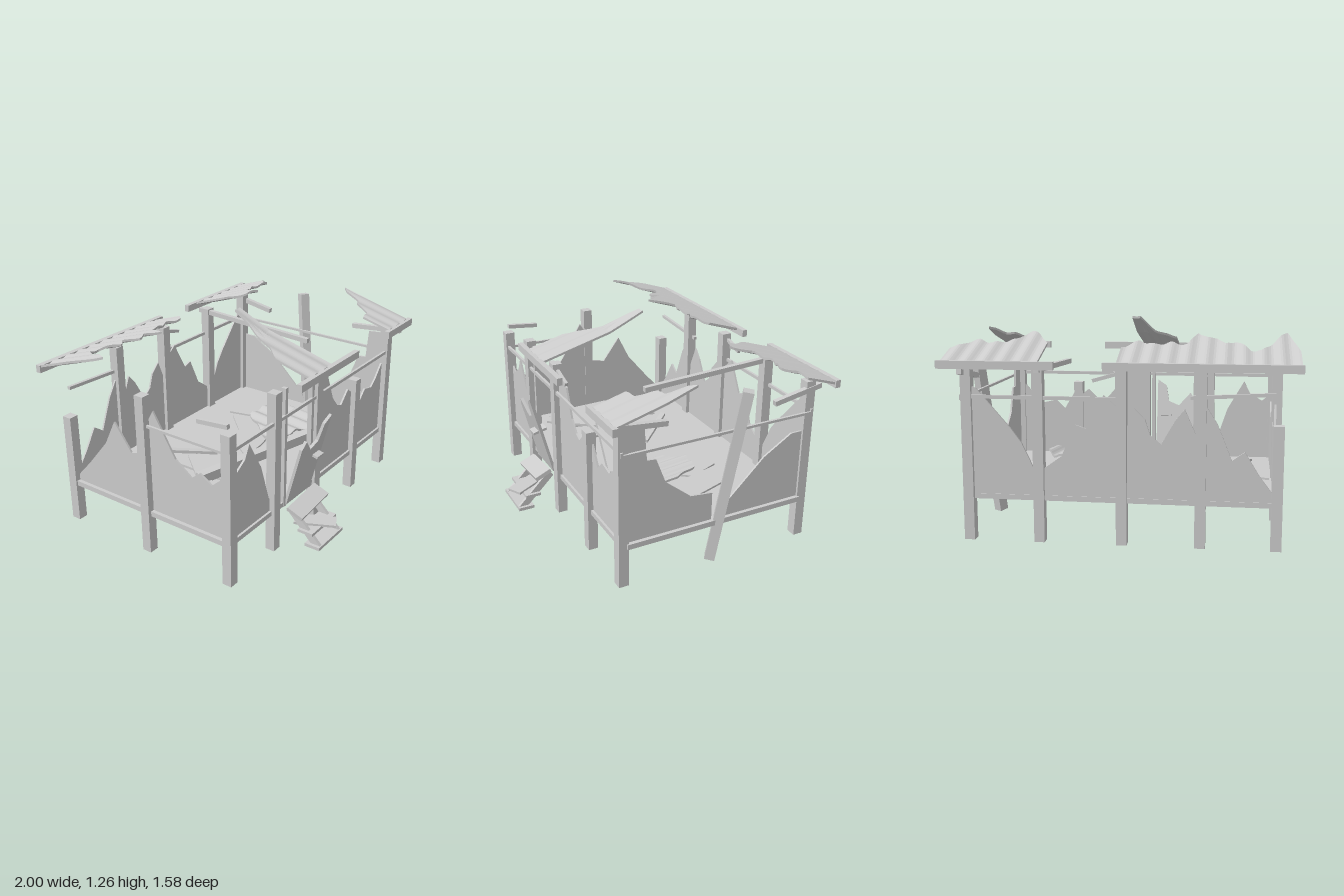
import * as THREE from 'three';

const mat = new THREE.MeshStandardMaterial({ color: 0xcccccc, flatShading: true, side: THREE.DoubleSide });
const V = (a) => new THREE.Vector3(...a);

// piecewise linear value of a [[x, value], ...] profile
function sample(pts, x) {
  for (let i = 1; i < pts.length; i++) {
    const [a, va] = pts[i - 1], [b, vb] = pts[i];
    if (x <= b) return va + (vb - va) * Math.max(0, (x - a) / (b - a));
  }
  return pts[pts.length - 1][1];
}

export function createModel() {
  const root = new THREE.Group();
  root.name = 'ruinedCabin';

  function add(name, geo) {
    const m = new THREE.Mesh(geo, mat);
    m.name = name;
    root.add(m);
    return m;
  }
  // axis-aligned box from min and max corners
  function box(name, a, b) {
    const m = add(name, new THREE.BoxGeometry(b[0] - a[0], b[1] - a[1], b[2] - a[2]));
    m.position.set((a[0] + b[0]) / 2, (a[1] + b[1]) / 2, (a[2] + b[2]) / 2);
    return m;
  }
  // beam of section w x h running between two points
  function beam(name, a, b, w = 0.03, h = w) {
    const p = V(a), q = V(b);
    const m = add(name, new THREE.BoxGeometry(w, h, p.distanceTo(q)));
    m.position.copy(p).add(q).multiplyScalar(0.5);
    m.lookAt(q);
    return m;
  }
  // thin plate cut from an outline, extruded along its local z
  function plate(name, pts, depth = 0.012) {
    const s = new THREE.Shape(pts.map((p) => new THREE.Vector2(...p)));
    const g = new THREE.ExtrudeGeometry(s, { depth, bevelEnabled: false });
    g.translate(0, 0, -depth / 2);
    return add(name, g);
  }
  // broken wall: jagged top over the floor line
  function wall(name, top, side, at) {
    const pts = [[top[0][0], 0.24], ...top, [top[top.length - 1][0], 0.24]];
    const m = plate(name, side ? pts.map(([z, y]) => [-z, y]) : pts);
    if (side) { m.rotation.y = Math.PI / 2; m.position.x = at; } else m.position.z = at;
    return m;
  }
  // corrugated sheet between two edges given as z over x, height from a rule
  function sheet(name, edgeA, edgeB, height, amp = 0.007) {
    const x0 = edgeB[0][0], x1 = edgeB[edgeB.length - 1][0];
    const n = Math.ceil((x1 - x0) / 0.0125);
    const g = new THREE.BoxGeometry(1, 0.014, 1, n, 1, 6), p = g.attributes.position;
    for (let i = 0; i < p.count; i++) {
      const x = x0 + (p.getX(i) + 0.5) * (x1 - x0), t = p.getZ(i) + 0.5;
      const z = sample(edgeA, x) * (1 - t) + sample(edgeB, x) * t;
      p.setXYZ(i, x, p.getY(i) + height(x, z) + amp * Math.sin(x * 62), z);
    }
    g.computeVertexNormals();
    return add(name, g);
  }

  box('floor', [-0.88, 0.24, -0.69], [0.88, 0.27, 0.51]);

  // posts
  const xs = [-0.88, -0.46, -0.02, 0.45, 0.86];
  const frontH = [0.93, 1.01, 1.01, 0.77, 1.0], backH = [0.7, 1.01, 1.01, 1.01, 1.01];
  xs.forEach((x, i) => {
    box('frontPost', [x - 0.03, 0, 0.47], [x + 0.03, frontH[i], 0.53]);
    box('backPost', [x - 0.03, 0, -0.71], [x + 0.03, backH[i], -0.65]);
  });
  box('leftMiddlePost', [-0.92, 0, -0.11], [-0.86, 1.0, -0.05]);
  beam('leaningPost', [0.86, 0, -0.07], [0.955, 1.07, -0.21], 0.06);

  // broken walls
  wall('frontWall', [[-0.86, 0.7], [-0.81, 0.66], [-0.73, 0.71], [-0.69, 0.79], [-0.58, 0.6], [-0.5, 0.36], [-0.48, 0.34]], false, 0.49);
  wall('frontWall', [[0, 0.97], [0.03, 0.96], [0.12, 0.9], [0.19, 0.73], [0.25, 0.66], [0.3, 0.64], [0.38, 0.72], [0.43, 0.68]], false, 0.49);
  wall('frontWall', [[0.46, 0.73], [0.55, 0.58], [0.61, 0.64], [0.7, 0.62], [0.75, 0.66], [0.84, 0.76]], false, 0.49);
  wall('backWall', [[-0.87, 0.3], [-0.78, 0.42], [-0.7, 0.55], [-0.63, 0.5], [-0.55, 0.7], [-0.48, 0.81]], false, -0.68);
  wall('backWall', [[-0.44, 0.62], [-0.37, 0.78], [-0.32, 0.72], [-0.24, 0.58], [-0.18, 0.63], [-0.15, 0.72], [-0.09, 0.78], [-0.04, 0.65]], false, -0.68);
  wall('backWall', [[0, 0.78], [0.08, 0.85], [0.18, 0.66], [0.24, 0.68], [0.32, 0.5], [0.43, 0.42]], false, -0.68);
  wall('backWall', [[0.47, 0.4], [0.55, 0.57], [0.61, 0.65], [0.81, 0.88], [0.85, 0.89]], false, -0.68);
  wall('rightWall', [[0.47, 0.95], [0.37, 0.94], [0.355, 0.75], [0.3, 0.745], [0.24, 0.59], [0.08, 0.46], [-0.06, 0.445]], true, 0.87);
  wall('rightWall', [[-0.12, 0.3], [-0.15, 0.35], [-0.4, 0.59], [-0.58, 0.7], [-0.66, 0.7]], true, 0.87);
  wall('leftWall', [[0.47, 0.66], [0.38, 0.58], [0.3, 0.63], [0.24, 0.58], [0.13, 0.66], [-0.02, 0.91], [-0.06, 0.84]], true, -0.87);
  wall('leftWall', [[-0.11, 0.62], [-0.2, 0.6], [-0.32, 0.76], [-0.4, 0.6], [-0.55, 0.42], [-0.66, 0.3]], true, -0.87);

  // rails
  box('frontRail', [-0.88, 0.82, 0.505], [0.9, 0.84, 0.52]);
  box('backRail', [-0.02, 0.82, -0.7], [0.9, 0.84, -0.685]);
  beam('backRail', [-0.86, 0.87, -0.69], [-0.4, 0.845, -0.69], 0.02);
  box('rightRail', [0.885, 0.81, -0.7], [0.9, 0.825, 0.52]);
  box('leftRail', [-0.9, 0.81, -0.08], [-0.885, 0.825, 0.52]);
  for (const x of [-0.887, 0.887]) box('sillRail', [x - 0.012, 0.24, -0.66], [x + 0.012, 0.272, 0.48]);

  // eaves
  for (const [x0, x1, z] of [[-1, 0.07, -0.775], [0.34, 1, -0.775], [-0.36, 0.28, 0.595], [0.67, 1, 0.595]]) {
    box('eavesBeam', [x0, 0.995, z - 0.016], [x1, 1.04, z + 0.016]);
  }

  // remaining roof sheets
  const backSlope = (x, z) => 1.025 + 0.33 * (z + 0.77);
  const frontSlope = (x, z) => (z > 0.14 ? 1.03 + 0.265 * (0.6 - z) : 1.152 + 0.46 * (0.14 - z));
  const backEdge = [[-1, -0.77], [1, -0.77]], frontEdge = [[-1, 0.59], [1, 0.59]];
  sheet('backRoof', backEdge, [[-0.99, -0.6], [-0.93, -0.31], [-0.85, -0.46], [-0.78, -0.58], [-0.72, -0.57], [-0.64, -0.45], [-0.58, -0.5], [-0.53, -0.4],
    [-0.48, -0.42], [-0.42, -0.33], [-0.37, -0.51], [-0.28, -0.48], [-0.18, -0.51], [-0.1, -0.46], [0, -0.55]], backSlope);
  sheet('backRoof', backEdge, [[0.43, -0.52], [0.5, -0.38], [0.57, -0.33], [0.62, -0.46], [0.75, -0.51], [0.87, -0.46], [0.93, -0.55], [0.99, -0.57]], backSlope);
  sheet('frontRoof', frontEdge, [[-0.24, 0.36], [-0.22, 0.33], [-0.17, 0.27], [-0.08, 0.05], [-0.05, -0.07], [0, -0.07]], frontSlope, 0.004);
  sheet('frontRoof', frontEdge, [[0.71, 0.4], [0.8, 0.38], [0.84, 0.28], [0.9, 0.26], [0.93, 0.15], [0.97, 0.11], [0.98, 0.3]], frontSlope, 0.004);

  // loose roof timbers
  beam('crossTimber', [0.445, 0.95, 0.15], [0.445, 0.99, -0.74], 0.03);
  beam('sideTimber', [0.88, 0.985, 0.59], [0.88, 0.95, 0.24], 0.03);
  beam('sideTimber', [0.88, 0.92, -0.44], [0.88, 0.975, -0.75], 0.03);
  beam('sideTimber', [-0.88, 0.97, 0.5], [-0.88, 0.95, 0.3], 0.025);
  for (const z of [-0.69, 0.5]) beam('brokenStub', [0, 0.97, z], [0.14, 0.93, z], 0.02);

  // debris on the floor
  beam('fallenBeam', [-0.52, 0.33, 0], [0.35, 0.38, 0.3], 0.06);
  beam('fallenPlank', [-0.72, 0.295, 0.3], [-0.28, 0.31, -0.23], 0.08, 0.015);
  beam('fallenStick', [-0.38, 0.33, -0.43], [-0.13, 0.29, -0.16], 0.035, 0.02);
  beam('fallenPlank', [-0.37, 0.29, -0.3], [-0.37, 0.29, 0.17], 0.06, 0.015);
  sheet('fallenRoof', [[0.12, 0.06], [0.25, -0.12], [0.3, -0.21], [0.48, -0.18], [0.56, 0]],
    [[0.12, 0.1], [0.28, 0.13], [0.38, 0.16], [0.43, 0.25], [0.55, 0.2]], (x, z) => 0.33 + 0.12 * (x - 0.12) - 0.1 * z, 0.01);
  const shards = [
    [[-0.85, -0.2], [-0.78, -0.18], [-0.7, -0.19], [-0.6, -0.1], [-0.53, 0.05], [-0.58, 0.27], [-0.68, 0.2], [-0.78, 0.27], [-0.84, 0.1]],
    [[-0.08, 0.03], [0.05, -0.16], [0.2, -0.23], [0.36, -0.4], [0.44, -0.2], [0.3, -0.02], [0.1, 0.02]],
    [[0.38, -0.44], [0.57, -0.38], [0.66, -0.1], [0.71, 0.03], [0.69, 0.2], [0.58, 0.06], [0.45, -0.15]],
    [[-0.68, -0.2], [-0.58, -0.4], [-0.45, -0.4], [-0.5, -0.25], [-0.6, -0.15]],
  ];
  shards.forEach((s, i) => {
    const m = plate('fallenPanel', s);
    m.rotation.x = Math.PI / 2;
    m.position.y = 0.285 + 0.008 * i;
  });

  // doorway with a broken, leaning door
  for (const x of [-0.36, -0.075]) box('doorFrame', [x - 0.012, 0.24, 0.485], [x + 0.012, 1.0, 0.515]);
  const door = new THREE.Group();
  door.name = 'door';
  const leaf = plate('doorLeaf', [[-0.13, 0], [0.13, 0], [0.13, 0.54], [0.07, 0.5], [0.05, 0.39], [-0.02, 0.36], [-0.1, 0.45], [-0.13, 0.4]], 0.018);
  const handle = box('doorHandle', [0.03, 0.282, -0.045], [0.1, 0.297, 0.045]);
  door.add(leaf, handle);
  door.position.set(-0.22, 0.25, 0.51);
  door.rotation.x = 0.25;
  root.add(door);

  // broken steps
  for (const x of [-0.33, -0.115]) beam('stringer', [x, 0.23, 0.53], [x, 0.02, 0.74], 0.02, 0.045);
  box('tread', [-0.36, 0.1, 0.61], [-0.085, 0.118, 0.71]);
  box('tread', [-0.36, 0.02, 0.66], [-0.085, 0.04, 0.76]);
  beam('topTread', [-0.37, 0.215, 0.59], [-0.075, 0.245, 0.59], 0.11, 0.025).rotateZ(0.4);
  beam('loosePlank', [-0.29, 0.128, 0.54], [-0.17, 0.12, 0.76], 0.1, 0.015);

  return root;
}
